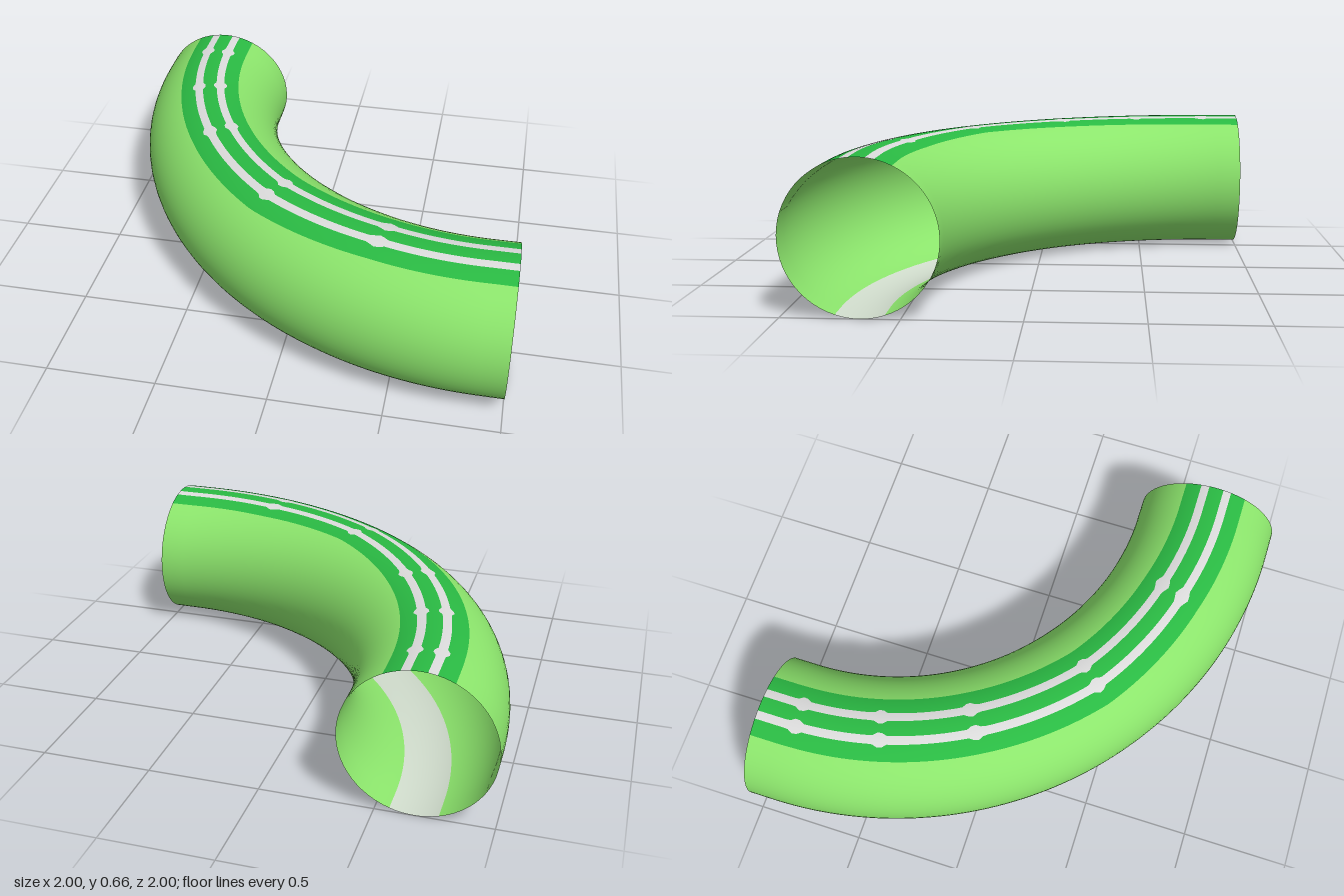
import * as THREE from 'three';

const R = 0.332, Y = 0.333;            // tube radius and height of its axis
const STRAIGHT = 0.115;                // short straight run at each end
const BEND = 1.667 - STRAIGHT;         // radius of the quarter bend
const C = 1 - STRAIGHT;                // bend centre is (C, -C)
const ROWS = 120;
// Dots on the lines: bend angle, and outward drift of the painted band there
const KNOTS = [[2.5, 0], [16, 0.007], [31.3, 0.016], [52, 0.033], [72.8, 0.007]];

const paint = (name, color) => {
  const m = new THREE.MeshStandardMaterial({ color, side: THREE.DoubleSide });
  m.name = name;
  return m;
};

// Rows along the path: straight start, bend, straight end
function pathRows() {
  const rows = [{ deg: 0, run: -STRAIGHT }];
  for (let i = 0; i <= ROWS; i++) rows.push({ deg: (90 * i) / ROWS, run: 0 });
  rows.push({ deg: 90, run: STRAIGHT });
  return rows;
}

// Outward drift of the painted band, interpolated between the dots
function drift({ deg }) {
  const stops = [[0, 0], ...KNOTS, [90, 0]];
  const k = Math.max(1, stops.findIndex(([d]) => d >= deg));
  const [d0, v0] = stops[k - 1], [d1, v1] = stops[k];
  return THREE.MathUtils.mapLinear(deg, d0, d1, v0, v1);
}

// Half width of a pale line, swelling into a round dot at each knot
function lineHalfWidth(row) {
  let w = 0.019;
  if (row.run !== 0) return w;
  for (const [deg] of KNOTS) {
    const d = THREE.MathUtils.degToRad(row.deg - deg) * BEND;
    w = Math.max(w, Math.sqrt(Math.max(0, 0.034 ** 2 - d * d)));
  }
  return w;
}

// A strip of the tube wall between two angles around it (0 = top, positive = outer side)
function strip(name, material, from, to, segments) {
  const pos = [], nor = [], index = [];
  const rows = pathRows();
  rows.forEach((row, i) => {
    const a = THREE.MathUtils.degToRad(row.deg);
    const a0 = from(row), a1 = to(row);
    for (let j = 0; j <= segments; j++) {
      const th = a0 + ((a1 - a0) * j) / segments;
      const s = Math.sin(th), c = Math.cos(th);
      const r = BEND + R * s;
      pos.push(C - Math.cos(a) * r + Math.sin(a) * row.run, Y + R * c,
        -C + Math.sin(a) * r + Math.cos(a) * row.run);
      nor.push(-Math.cos(a) * s, c, Math.sin(a) * s);
      if (i < rows.length - 1 && j < segments) {
        const p = i * (segments + 1) + j, q = p + segments + 1;
        index.push(p, p + 1, q, p + 1, q + 1, q);
      }
    }
  });
  const g = new THREE.BufferGeometry();
  g.setAttribute('position', new THREE.Float32BufferAttribute(pos, 3));
  g.setAttribute('normal', new THREE.Float32BufferAttribute(nor, 3));
  g.setIndex(index);
  const mesh = new THREE.Mesh(g, material);
  mesh.name = name;
  return mesh;
}

export function createModel() {
  const lightGreen = paint('light green', 0x8ce56c);
  const darkGreen = paint('dark green', 0x2aba43);
  const paleGrey = paint('pale grey', 0xdcdcdc);
  const greenGrey = paint('green grey', 0xd0dccc);

  // Edges as angles; offsets are sideways distances from the crown
  const edge = (o) => (row) => Math.asin((o + drift(row)) / R);
  const at = (deg) => () => THREE.MathUtils.degToRad(deg);
  const lineEdge = (centre, side) => (row) => edge(centre + side * lineHalfWidth(row))(row);
  const bandIn = edge(-0.145), bandOut = edge(0.143);
  const inA = lineEdge(-0.055, -1), inB = lineEdge(-0.055, 1);
  const outA = lineEdge(0.052, -1), outB = lineEdge(0.052, 1);

  const tube = new THREE.Group();
  tube.name = 'curvedTube';
  tube.add(
    // Painted band along the crown
    strip('innerBand', darkGreen, bandIn, inA, 3),
    strip('innerLine', paleGrey, inA, inB, 2),
    strip('middleBand', darkGreen, inB, outA, 3),
    strip('outerLine', paleGrey, outA, outB, 2),
    strip('outerBand', darkGreen, outB, bandOut, 3),
    // Walls and underside
    strip('outerWall', lightGreen, bandOut, at(162), 24),
    strip('underside', greenGrey, at(162), at(198), 8),
    strip('innerWall', lightGreen, at(198), (row) => 2 * Math.PI + bandIn(row), 24),
  );

  const model = new THREE.Group();
  model.name = 'tubeBend';
  model.add(tube);
  return model;
}
